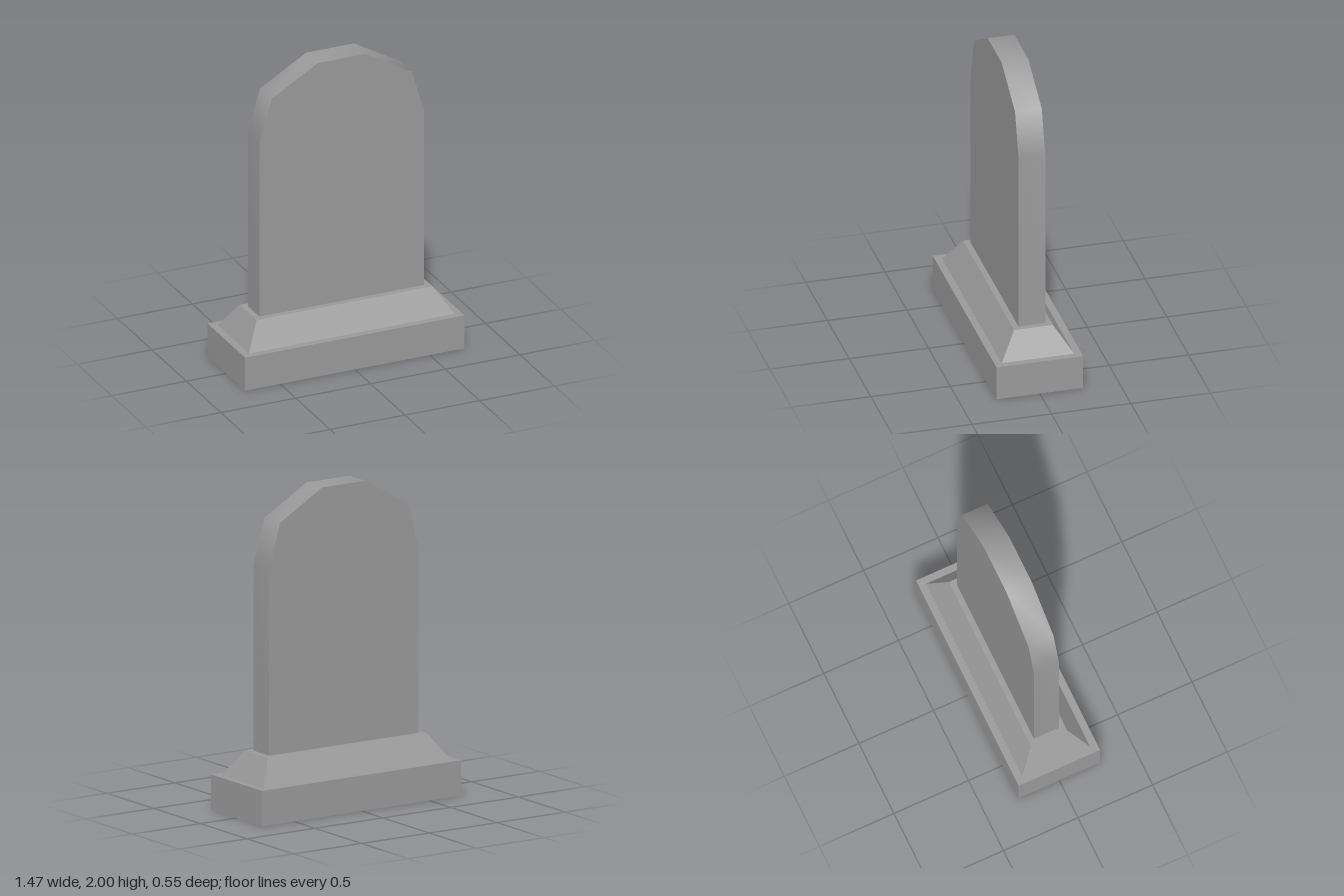
import * as THREE from 'three';

const stone = new THREE.MeshStandardMaterial({ color: 0x999999, side: THREE.DoubleSide });
stone.name = 'grey stone';

// Flat-faced skirt through rectangular rings [halfX, y, halfZ], outer to inner
function rectLoft(name, rings) {
  const signs = [[1, 1], [1, -1], [-1, -1], [-1, 1]];
  const corner = ([x, y, z], k) => [signs[k % 4][0] * x, y, signs[k % 4][1] * z];
  const pos = [];
  for (let r = 0; r < rings.length - 1; r++) {
    for (let k = 0; k < 4; k++) {
      const a = corner(rings[r], k), b = corner(rings[r], k + 1);
      const c = corner(rings[r + 1], k + 1), d = corner(rings[r + 1], k);
      pos.push(...a, ...b, ...c, ...a, ...c, ...d);
    }
  }
  const geo = new THREE.BufferGeometry();
  geo.setAttribute('position', new THREE.Float32BufferAttribute(pos, 3));
  geo.computeVertexNormals();
  const mesh = new THREE.Mesh(geo, stone);
  mesh.name = name;
  return mesh;
}

// Upright slab: flat faces and a softly shaded rim, open underneath
function makeSlab(halfDepth) {
  const half = [[0.55, 0.38], [0.55, 1.54], [0.47, 1.82], [0.16, 2]];
  const outline = [...half, ...half.map(([x, y]) => [-x, y]).reverse()];
  const slab = new THREE.Group();
  slab.name = 'slab';

  const shape = new THREE.Shape(outline.map(([x, y]) => new THREE.Vector2(x, y)));
  for (const side of [1, -1]) {
    const face = new THREE.Mesh(new THREE.ShapeGeometry(shape), stone);
    face.name = side > 0 ? 'slabFront' : 'slabBack';
    if (side < 0) face.rotation.y = Math.PI;
    face.position.z = side * halfDepth;
    slab.add(face);
  }

  const pos = [], index = [];
  outline.forEach(([x, y], i) => {
    pos.push(x, y, halfDepth, x, y, -halfDepth);
    const a = 2 * i;
    if (i < outline.length - 1) index.push(a, a + 1, a + 2, a + 1, a + 3, a + 2);
  });
  const geo = new THREE.BufferGeometry();
  geo.setAttribute('position', new THREE.Float32BufferAttribute(pos, 3));
  geo.setIndex(index);
  geo.computeVertexNormals();
  const rim = new THREE.Mesh(geo, stone);
  rim.name = 'slabRim';
  slab.add(rim);
  return slab;
}

export function createModel() {
  const model = new THREE.Group();
  model.name = 'headstone';
  // Hollow plinth with its ledge, then the sloped foot with its ledge
  model.add(rectLoft('plinth', [[0.733, 0, 0.273], [0.733, 0.22, 0.273], [0.688, 0.22, 0.228]]));
  model.add(rectLoft('slopedFoot', [[0.688, 0.22, 0.228], [0.587, 0.38, 0.122], [0.55, 0.38, 0.084]]));
  model.add(makeSlab(0.084));
  return model;
}
